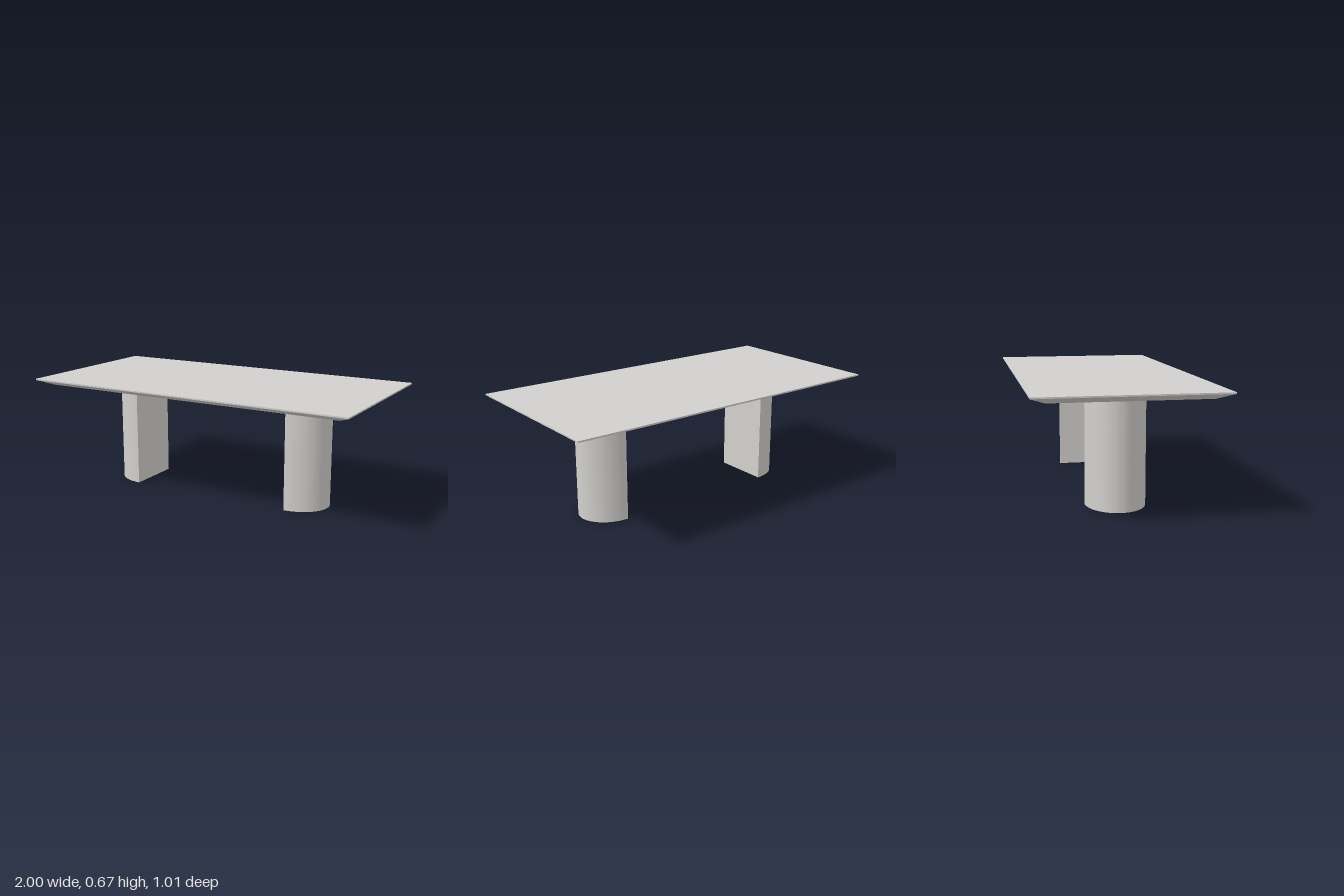
import * as THREE from 'three';
import { toCreasedNormals } from 'three/addons/utils/BufferGeometryUtils.js';

const TOP = 0.67, RIM = 0.662, UNDER = 0.628; // tabletop heights
const INSET = 0.08;                           // bevel width under the rim

// Thin slab whose underside is bevelled inward on all four sides
function tabletopGeometry() {
  const geo = new THREE.BoxGeometry(2, 2, 1.01, 1, 2, 1);
  const p = geo.attributes.position;
  for (let i = 0; i < p.count; i++) {
    const row = Math.round(p.getY(i));
    p.setY(i, row > 0 ? TOP : row === 0 ? RIM : UNDER);
    if (row < 0) {
      p.setX(i, p.getX(i) - Math.sign(p.getX(i)) * INSET);
      p.setZ(i, p.getZ(i) - Math.sign(p.getZ(i)) * INSET);
    }
  }
  const flat = geo.toNonIndexed();
  flat.computeVertexNormals();
  return flat;
}

// Half-oval column, flat on the -x side and rounded toward +x
function legGeometry() {
  const shape = new THREE.Shape();
  shape.absellipse(0, 0, 0.203, 0.167, -Math.PI / 2, Math.PI / 2, false, 0);
  shape.closePath();
  const geo = new THREE.ExtrudeGeometry(shape, { depth: UNDER, bevelEnabled: false, curveSegments: 32 });
  geo.rotateX(-Math.PI / 2);
  return toCreasedNormals(geo, 0.6);
}

export function createModel() {
  const group = new THREE.Group();
  group.name = 'table';
  const stone = new THREE.MeshStandardMaterial({ color: 0xd2d0cd });
  stone.name = 'pale grey';

  const top = new THREE.Mesh(tabletopGeometry(), stone);
  top.name = 'tabletop';
  group.add(top);

  // Legs mirror each other with flat sides facing inward
  const legGeo = legGeometry();
  for (const side of [1, -1]) {
    const leg = new THREE.Mesh(legGeo, stone);
    leg.name = side > 0 ? 'leftLeg' : 'rightLeg';
    leg.position.x = side * 0.502;
    if (side < 0) leg.rotation.y = Math.PI;
    group.add(leg);
  }
  return group;
}
